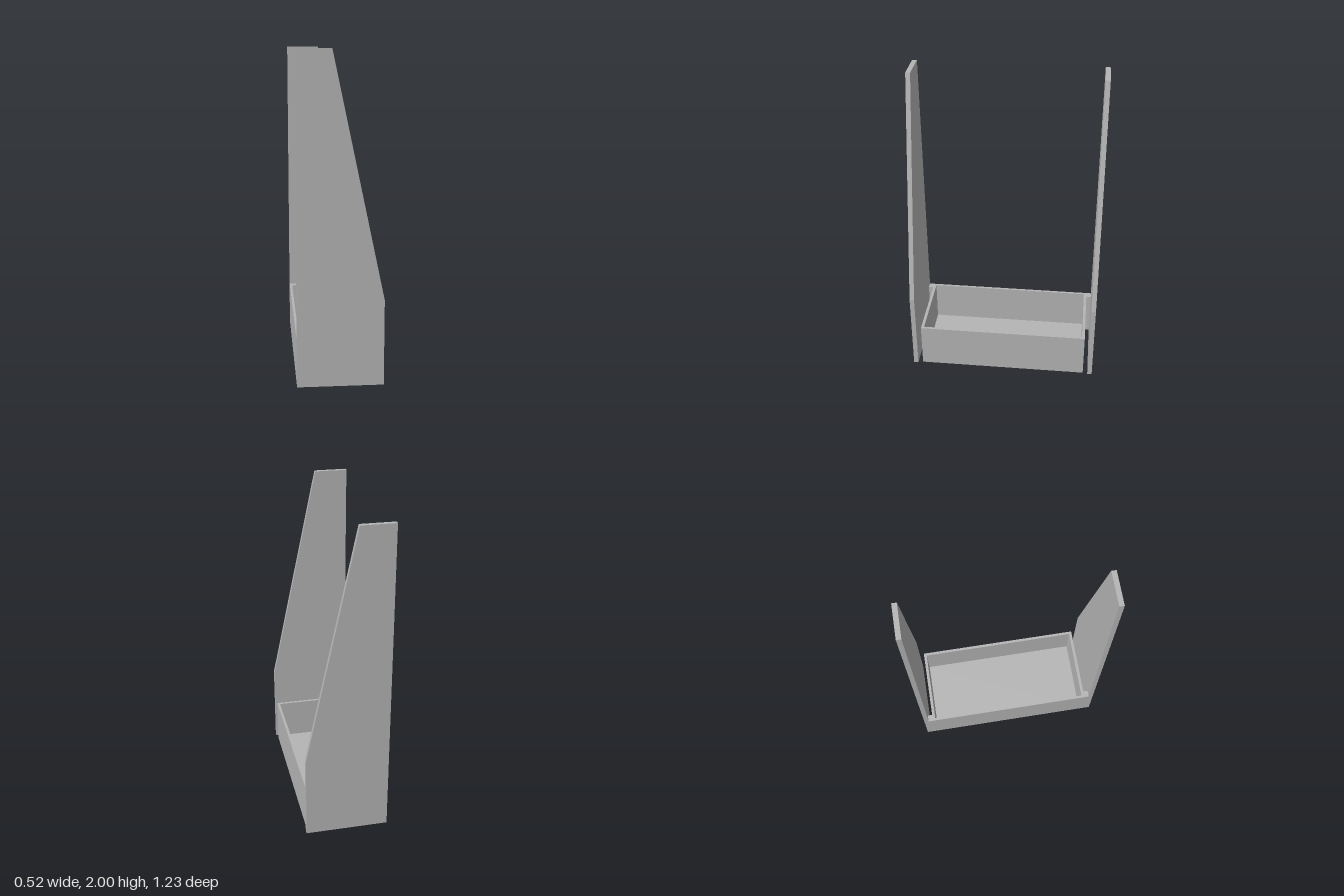
import * as THREE from 'three';

const X0 = -0.262, X1 = 0.262;      // panel extent
const TRAY_X1 = 0.253, TRAY_Z = 0.552, H = 0.295, FLOOR = 0.026;
const IN_X0 = -0.246, IN_X1 = 0.235, IN_Z = 0.533;
const PANEL_IN = 0.583, PANEL_T = 0.03;

export function createModel() {
  const model = new THREE.Group();
  const grey = new THREE.MeshStandardMaterial({ color: 0xb4b4b4 });
  grey.name = 'grey';

  const add = (name, geometry) => {
    const mesh = new THREE.Mesh(geometry, grey);
    mesh.name = name;
    model.add(mesh);
    return mesh;
  };
  const box = (name, x0, x1, y0, y1, z0, z1) =>
    add(name, new THREE.BoxGeometry(x1 - x0, y1 - y0, z1 - z0))
      .position.set((x0 + x1) / 2, (y0 + y1) / 2, (z0 + z1) / 2);

  // Tapered side panels
  const profile = new THREE.Shape([
    [X0, 0], [X1, 0], [X1, 0.53], [-0.05, 2], [X0, 2],
  ].map(([x, y]) => new THREE.Vector2(x, y)));
  const panel = new THREE.ExtrudeGeometry(profile, { depth: PANEL_T, bevelEnabled: false });
  add('frontPanel', panel).position.z = PANEL_IN;
  add('backPanel', panel).position.z = -PANEL_IN - PANEL_T;

  // Open tray: rim walls extruded upward, with a floor inside
  const rect = (Type, x0, x1, z) => new Type([
    [x0, -z], [x1, -z], [x1, z], [x0, z],
  ].map(([x, y]) => new THREE.Vector2(x, y)));
  const rim = rect(THREE.Shape, X0, TRAY_X1, TRAY_Z);
  rim.holes.push(rect(THREE.Path, IN_X0, IN_X1, IN_Z));
  const walls = new THREE.ExtrudeGeometry(rim, { depth: H, bevelEnabled: false });
  walls.rotateX(-Math.PI / 2);
  add('trayWalls', walls);
  box('trayFloor', IN_X0, IN_X1, 0, FLOOR, -IN_Z, IN_Z);

  // Spacer strips joining the tray to each panel
  box('frontSpacer', X0, -0.218, 0, H, TRAY_Z, PANEL_IN);
  box('backSpacer', X0, -0.218, 0, H, -PANEL_IN, -TRAY_Z);

  return model;
}
